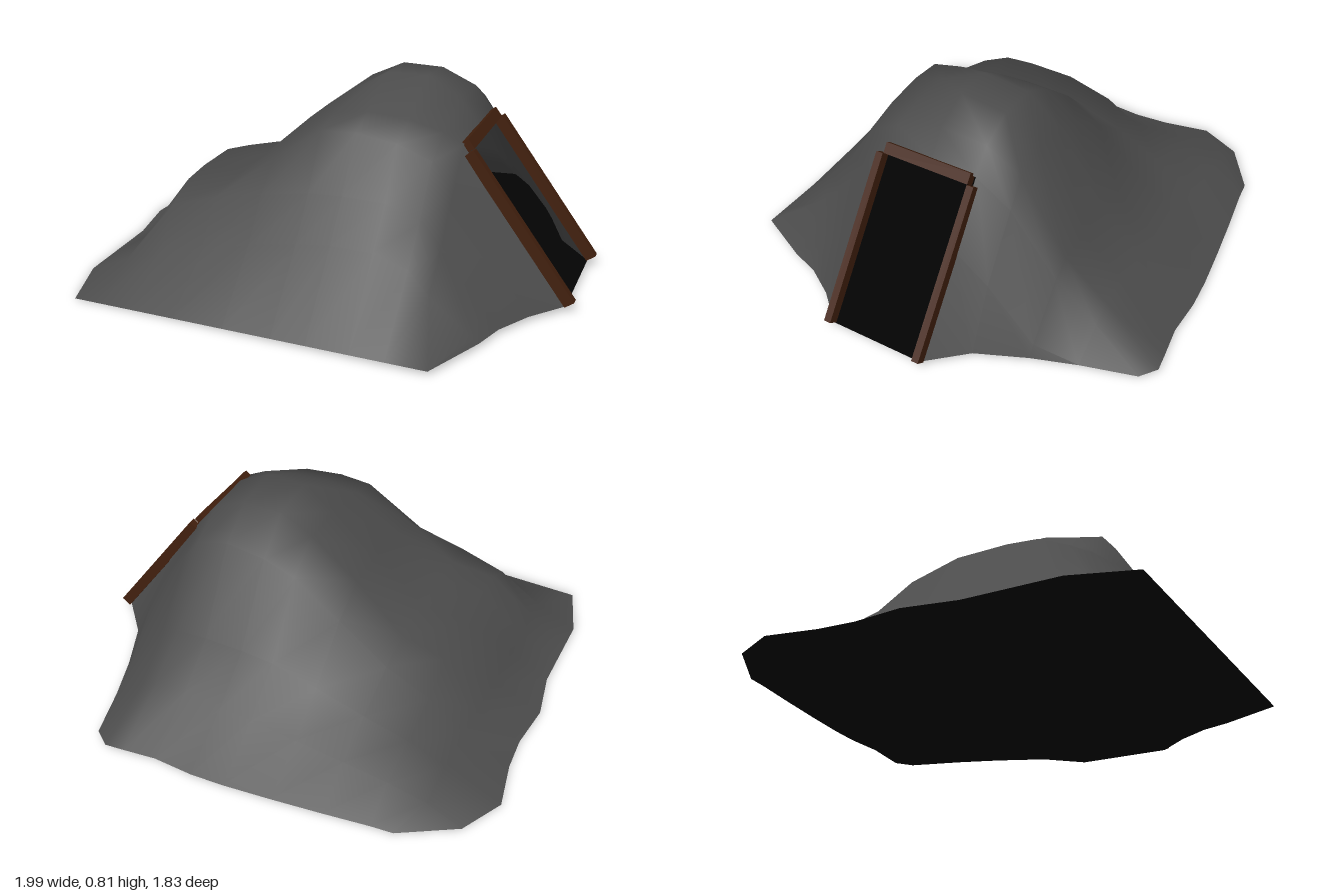
import * as THREE from 'three';

const edgeY = (x) => 0.015 + 0.012 * x;

// x stations shared by all mound sections (the two ends vary per section)
const stations = [-0.76, -0.6, -0.41, -0.2, 0, 0.14, 0.31, 0.45, 0.53, 0.7];
// sections from back to front: z, left and right end, heights at the stations
const sections = [
  { z: -0.65, ends: [-0.91, 0.665], h: [0.07, 0.1, 0.12, 0.14, 0.16, 0.17, 0.18, 0.17, 0.12, 0.02] },
  { z: -0.47, ends: [-1, 0.73], h: [0.1, 0.16, 0.21, 0.27, 0.32, 0.33, 0.33, 0.32, 0.27, 0.07] },
  { z: -0.27, ends: [-0.96, 0.82], h: [0.1, 0.22, 0.31, 0.47, 0.61, 0.66, 0.68, 0.64, 0.53, 0.28] },
  { z: -0.12, ends: [-0.95, 0.96], h: [0.1, 0.31, 0.36, 0.565, 0.72, 0.79, 0.79, 0.73, 0.63, 0.393] },
  { z: 0.08, ends: [-0.97, 0.96], h: [0.09, 0.365, 0.375, 0.57, 0.72, 0.81, 0.815, 0.74, 0.63, 0.393] },
  { z: 0.29, ends: [-0.93, 0.96], h: [0.09, 0.37, 0.375, 0.55, 0.69, 0.71, 0.7, 0.67, 0.63, 0.393] },
  { z: 0.42, ends: [-0.93, 0.845], h: [0.1, 0.36, 0.375, 0.52, 0.66, 0.67, 0.65, 0.6, 0.47, 0.24] },
  { z: 0.55, ends: [-0.93, 0.765], h: [0.11, 0.3, 0.36, 0.41, 0.45, 0.46, 0.46, 0.41, 0.3, 0.1] },
  { z: 0.67, ends: [-0.93, 0.725], h: [0.08, 0.14, 0.18, 0.25, 0.29, 0.31, 0.31, 0.27, 0.18, 0.04] },
];
const backEdge = [-0.79, -0.79, -0.8, -0.83, -0.86, -0.885, -0.895, -0.89, -0.91, -0.92, -0.87, -0.87];

// Grid of points: back edge, inner sections, front edge
function moundRows() {
  const edgeRow = (min, max, zAt) => [min, ...stations, max].map((x, i) => {
    const cx = THREE.MathUtils.clamp(x, min, max);
    return [cx, edgeY(cx), zAt(i)];
  });
  const inner = sections.map(({ z, ends: [min, max], h }) => [
    [min, edgeY(min), z],
    ...stations.map((x, i) => (x < max ? [x, h[i], z] : [max, edgeY(max), z])),
    [max, edgeY(max), z],
  ]);
  return [
    edgeRow(-0.69, 0.6, (i) => backEdge[i]),
    ...inner,
    edgeRow(-0.85, 0.61, () => 0.91),
  ];
}

function makeGeometry(points, index) {
  const g = new THREE.BufferGeometry();
  g.setAttribute('position', new THREE.Float32BufferAttribute(points.flat(), 3));
  g.setIndex(index);
  g.computeVertexNormals();
  return g;
}

export function createModel() {
  const model = new THREE.Group();
  const rock = new THREE.MeshStandardMaterial({ color: 0x4c4c4c, side: THREE.DoubleSide });
  const dark = new THREE.MeshStandardMaterial({ color: 0x030303, side: THREE.DoubleSide });
  const wood = new THREE.MeshStandardMaterial({ color: 0x42200e });
  const add = (name, geometry, material, parent = model) => {
    const mesh = new THREE.Mesh(geometry, material);
    mesh.name = name;
    parent.add(mesh);
    return mesh;
  };

  // Hollow mound, left open where the doorway is
  const rows = moundRows();
  const cols = rows[0].length;
  const last = rows.length - 1;
  const index = [];
  for (let r = 0; r < last; r++) {
    for (let c = 0; c < cols - 1; c++) {
      const rightSide = c >= cols - 3;
      const doorway = rightSide && (r === 4 || r === 5);
      if (doorway) continue;
      const a = r * cols + c, b = a + 1, d = a + cols, e = d + 1;
      // the front right corner splits the other way to keep its slope
      if (rightSide && r >= last - 2) index.push(a, d, e, a, e, b);
      else index.push(a, d, b, b, d, e);
    }
  }
  add('mound', makeGeometry(rows.flat(), index), rock);

  // Dark floor closing the underside
  const rim = [
    ...rows[0],
    ...rows.slice(1, last).map((row) => row[cols - 1]),
    ...[...rows[last]].reverse(),
    ...rows.slice(1, last).reverse().map((row) => row[0]),
  ];
  const fan = rim.flatMap((_, i) => [0, i + 1, ((i + 1) % rim.length) + 1]);
  add('floor', makeGeometry([[0, edgeY(0), 0], ...rim], fan), dark);

  // Timber frame leaning on the slope: two posts and a lintel
  const frame = new THREE.Group();
  frame.name = 'doorFrame';
  const top = new THREE.Vector2(0.557, 0.605), foot = new THREE.Vector2(0.976, 0.043);
  const lean = Math.atan2(foot.x - top.x, top.y - foot.y);
  const postLength = top.distanceTo(foot);
  for (const [name, z] of [['frontPost', 0.293], ['backPost', -0.122]]) {
    const post = add(name, new THREE.BoxGeometry(0.045, postLength, 0.03), wood, frame);
    post.position.set((top.x + foot.x) / 2, (top.y + foot.y) / 2, z);
    post.rotation.z = lean;
  }
  const lintel = add('lintel', new THREE.BoxGeometry(0.042, 0.045, 0.385), wood, frame);
  lintel.position.set(0.54, 0.622, 0.086);
  lintel.rotation.z = lean;
  model.add(frame);

  return model;
}
